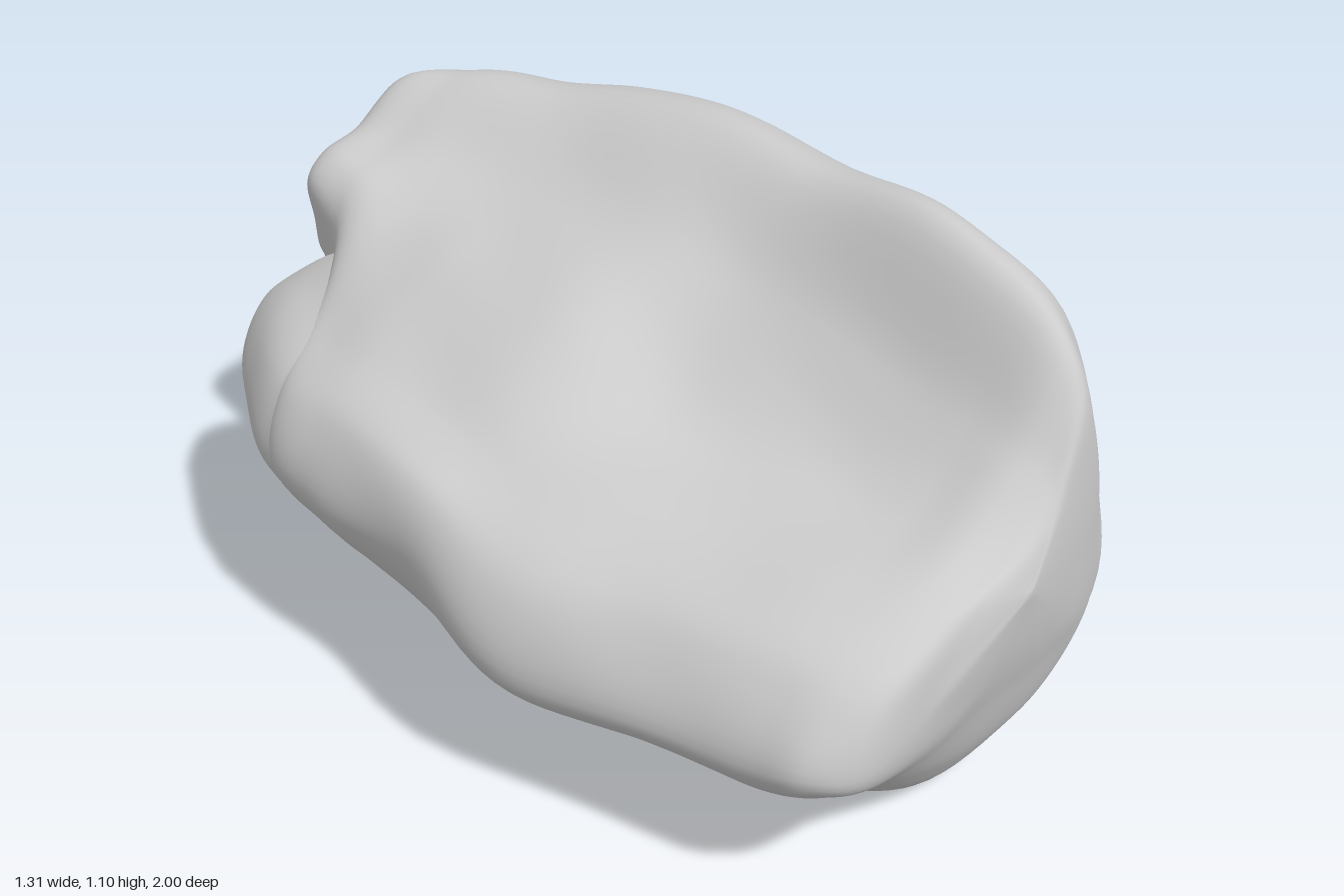
import * as THREE from 'three';
import { mergeVertices } from 'three/addons/utils/BufferGeometryUtils.js';

const AROUND = 96, ALONG = 120;

// One cross-section at depth z: x,y pairs from the -x side over the top to +x and back underneath
function section(z, ...xy) {
  const pts = [];
  for (let i = 0; i < xy.length; i += 2) pts.push(new THREE.Vector3(xy[i], xy[i + 1], z));
  return pts;
}

// A section shrunk to a point, closing an end
const tip = (x, y, z, n) => Array.from({ length: n }, () => new THREE.Vector3(x, y, z));

// Gentle weathering of the surface
function weather(p) {
  const { x, y, z } = p;
  const n = Math.sin(9 * x + 5 * z + 1) * Math.sin(8 * y - 6 * z) + 0.5 * Math.sin(17 * z + 11 * x) * Math.sin(15 * y + 7 * x);
  const out = new THREE.Vector3(x, y - 0.55, z * 0.3).normalize();
  return p.addScaledVector(out, 0.005 * n * (1 - Math.pow(Math.abs(z), 6)));
}

// Smooth skin through the sections, listed from front to back
function loft(sections) {
  const rings = sections.map((pts) => {
    const loop = new THREE.CatmullRomCurve3(pts, true);
    return Array.from({ length: AROUND }, (_, j) => loop.getPoint(j / AROUND));
  });
  const pos = new Array((ALONG + 1) * AROUND * 3), index = [];
  for (let j = 0; j < AROUND; j++) {
    const rail = new THREE.CatmullRomCurve3(rings.map((r) => r[j]));
    for (let i = 0; i <= ALONG; i++) weather(rail.getPoint(i / ALONG)).toArray(pos, (i * AROUND + j) * 3);
  }
  for (let i = 0; i < ALONG; i++) {
    for (let j = 0; j < AROUND; j++) {
      const a = i * AROUND + j, b = i * AROUND + (j + 1) % AROUND;
      index.push(a, b, a + AROUND, b, b + AROUND, a + AROUND);
    }
  }
  let geo = new THREE.BufferGeometry();
  geo.setAttribute('position', new THREE.Float32BufferAttribute(pos, 3));
  geo.setIndex(index);
  geo = mergeVertices(geo, 1e-5);
  geo.computeVertexNormals();
  return geo;
}

export function createModel() {
  const group = new THREE.Group();
  group.name = 'rock';
  const stone = new THREE.MeshStandardMaterial({ color: 0xcccccc });
  const add = (name, geo) => {
    const mesh = new THREE.Mesh(geo, stone);
    mesh.name = name;
    group.add(mesh);
  };

  // Main boulder, front half: broad face, high ridge on +x, low shelf on -x
  const body = [tip(-0.05, 0.58, 1.0, 12)];
  body.push(section(0.975, -0.27, 0.45, -0.23, 0.52, -0.16, 0.59, -0.06, 0.64, 0.02, 0.68, 0.07, 0.71,
    0.11, 0.66, 0.13, 0.56, 0.11, 0.46, 0.04, 0.43, -0.05, 0.43, -0.16, 0.42));
  body.push(section(0.945, -0.46, 0.36, -0.41, 0.5, -0.26, 0.59, -0.08, 0.65, 0.05, 0.74, 0.15, 0.86,
    0.21, 0.75, 0.25, 0.56, 0.23, 0.36, 0.12, 0.32, -0.05, 0.32, -0.26, 0.31));
  body.push(section(0.88, -0.53, 0.36, -0.46, 0.51, -0.31, 0.6, -0.1, 0.67, 0.04, 0.78, 0.17, 0.96,
    0.27, 0.82, 0.37, 0.57, 0.39, 0.28, 0.22, 0.15, -0.02, 0.13, -0.3, 0.23));
  body.push(section(0.77, -0.55, 0.34, -0.48, 0.53, -0.33, 0.61, -0.1, 0.67, 0.05, 0.81, 0.19, 1.03,
    0.33, 0.93, 0.5, 0.57, 0.57, 0.22, 0.28, 0.05, -0.02, 0.005, -0.27, 0.14));
  body.push(section(0.55, -0.59, 0.34, -0.52, 0.53, -0.36, 0.61, -0.12, 0.67, 0.06, 0.84, 0.22, 1.09,
    0.39, 0.97, 0.61, 0.6, 0.58, 0.23, 0.3, 0.11, -0.02, 0.08, -0.3, 0.18));
  body.push(section(0.25, -0.65, 0.33, -0.61, 0.52, -0.43, 0.63, -0.17, 0.7, 0.07, 0.89, 0.26, 1.08,
    0.45, 0.98, 0.64, 0.6, 0.55, 0.28, 0.3, 0.18, 0, 0.16, -0.46, 0.2));

  // Back half: +x side undercut below an overhanging edge, stepped underside, raised lobe
  body.push(section(-0.05, -0.62, 0.44, -0.58, 0.61, -0.43, 0.66, -0.2, 0.81, 0.06, 0.93, 0.31, 1.1,
    0.5, 0.98, 0.52, 0.66, 0.44, 0.34, 0.28, 0.21, -0.01, 0.18, -0.43, 0.18));
  body.push(section(-0.35, -0.6, 0.44, -0.54, 0.61, -0.4, 0.69, -0.18, 0.83, 0.05, 0.93, 0.29, 1.08,
    0.51, 0.96, 0.38, 0.67, 0.32, 0.44, 0.22, 0.33, -0.03, 0.29, -0.39, 0.23));
  body.push(section(-0.54, -0.55, 0.45, -0.5, 0.6, -0.36, 0.7, -0.19, 0.83, 0.02, 0.93, 0.25, 1.06,
    0.46, 0.95, 0.38, 0.73, 0.26, 0.56, 0.13, 0.44, -0.04, 0.36, -0.36, 0.28));
  body.push(section(-0.72, -0.19, 0.58, -0.2, 0.68, -0.19, 0.82, -0.13, 0.9, 0, 0.94, 0.2, 1.05,
    0.37, 0.96, 0.33, 0.74, 0.25, 0.59, 0.11, 0.52, -0.04, 0.48, -0.15, 0.5));
  body.push(section(-0.86, -0.12, 0.66, -0.14, 0.76, -0.15, 0.86, -0.1, 0.91, 0, 0.94, 0.14, 1.02,
    0.24, 0.96, 0.24, 0.77, 0.19, 0.62, 0.1, 0.57, 0, 0.56, -0.08, 0.59));
  body.push(section(-0.96, -0.05, 0.64, -0.05, 0.69, -0.04, 0.73, -0.01, 0.76, 0.04, 0.78, 0.09, 0.79,
    0.13, 0.76, 0.14, 0.69, 0.13, 0.63, 0.07, 0.6, 0.02, 0.59, -0.02, 0.61));
  body.push(tip(0.05, 0.66, -1.0, 12));
  add('boulder', loft(body));

  // Lower back lobe on -x, split from the boulder by a cleft
  const lobe = [tip(-0.33, 0.48, -0.2, 8)];
  lobe.push(section(-0.35, -0.57, 0.45, -0.52, 0.58, -0.37, 0.66, -0.2, 0.76, -0.1, 0.56, -0.1, 0.4, -0.34, 0.27, -0.5, 0.34));
  lobe.push(section(-0.56, -0.555, 0.45, -0.495, 0.6, -0.35, 0.7, -0.2, 0.79, -0.1, 0.6, -0.04, 0.39, -0.32, 0.285, -0.49, 0.35));
  lobe.push(section(-0.74, -0.46, 0.47, -0.41, 0.6, -0.31, 0.69, -0.19, 0.73, -0.14, 0.57, -0.13, 0.44, -0.28, 0.36, -0.41, 0.39));
  lobe.push(section(-0.88, -0.35, 0.49, -0.32, 0.57, -0.26, 0.62, -0.2, 0.61, -0.17, 0.54, -0.19, 0.47, -0.25, 0.44, -0.31, 0.45));
  lobe.push(tip(-0.25, 0.53, -0.925, 8));
  add('backLobe', loft(lobe));

  return group;
}
